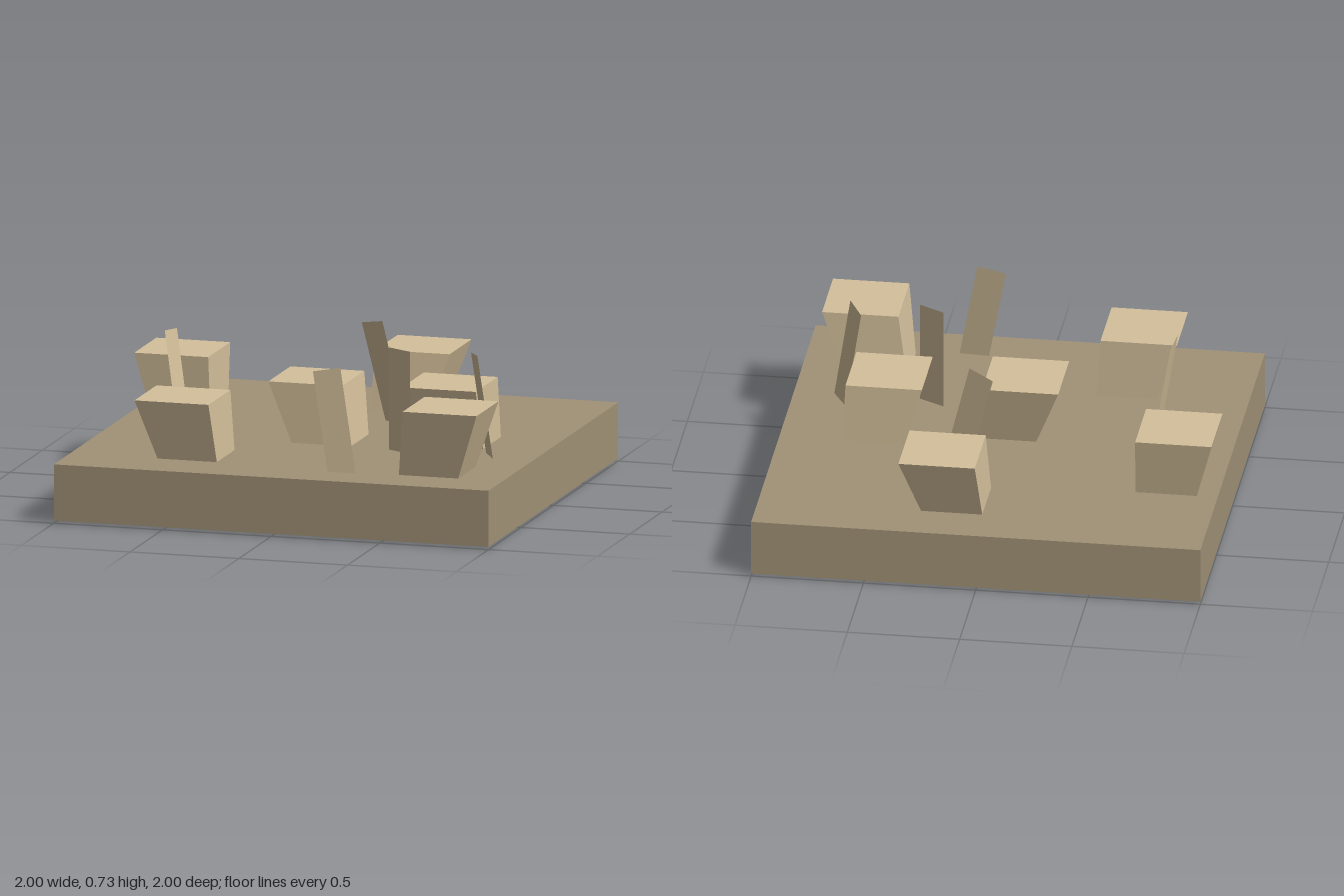
import * as THREE from 'three';

const BASE_BOTTOM = 0.012, BASE_TOP = 0.265;

const sand = new THREE.MeshStandardMaterial({ color: 0xd4c09b, flatShading: true });
const earth = new THREE.MeshStandardMaterial({ color: 0xa29377, flatShading: true });
const sheet = new THREE.MeshStandardMaterial({ color: 0xd4c09b, flatShading: true, side: THREE.DoubleSide });

// Block with a square top and a smaller, shifted square foot
function block(topY, topX, topZ, footX, footZ) {
  const topSize = 0.34, footSize = 0.272;
  const geo = new THREE.BoxGeometry(1, 1, 1);
  const p = geo.attributes.position;
  for (let i = 0; i < p.count; i++) {
    const up = p.getY(i) > 0;
    const size = up ? topSize : footSize;
    p.setXYZ(i,
      (up ? topX : footX) + p.getX(i) * size,
      up ? topY : BASE_TOP - 0.003,
      (up ? topZ : footZ) + p.getZ(i) * size);
  }
  geo.computeVertexNormals();
  const mesh = new THREE.Mesh(geo, sand);
  mesh.name = 'taperedBlock';
  return mesh;
}

// Thin slab standing through the base: top edge a-b, leaning by (leanX, leanZ) per unit of height
function slab(a, b, leanX, leanZ) {
  const drop = Math.min(a[1], b[1]);
  const geo = new THREE.PlaneGeometry(1, 1);
  const p = geo.attributes.position;
  for (let i = 0; i < p.count; i++) {
    const [x, y, z] = p.getX(i) < 0 ? a : b;
    const d = p.getY(i) > 0 ? 0 : drop;
    p.setXYZ(i, x + leanX * d, y - d, z + leanZ * d);
  }
  geo.computeVertexNormals();
  const mesh = new THREE.Mesh(geo, sheet);
  mesh.name = 'leaningSlab';
  return mesh;
}

export function createModel() {
  const model = new THREE.Group();
  model.name = 'blockField';

  // Square base
  const base = new THREE.Mesh(new THREE.BoxGeometry(2, BASE_TOP - BASE_BOTTOM, 2), earth);
  base.position.y = (BASE_TOP + BASE_BOTTOM) / 2;
  base.name = 'base';
  model.add(base);

  // Blocks: top height, top centre x z, foot centre x z
  const blocks = new THREE.Group();
  blocks.name = 'blocks';
  [
    [0.535, -0.81, -0.345, -0.77, -0.325],
    [0.535, 0.192, -0.708, 0.138, -0.645],
    [0.535, -0.066, 0.082, 0.008, 0.115],
    [0.535, 0.535, 0.04, 0.583, 0.003],
    [0.535, -0.514, 0.645, -0.461, 0.611],
    [0.567, 0.733, 0.692, 0.659, 0.648],
  ].forEach((b) => blocks.add(block(...b)));
  model.add(blocks);

  // Slabs: two top corners, then the lean
  const slabs = new THREE.Group();
  slabs.name = 'slabs';
  [
    [[-0.728, 0.725, 0.2], [-0.712, 0.71, 0.065], 0.17, 0.11],
    [[0.02, 0.7, -0.332], [0.133, 0.725, -0.268], 0.25, 0],
    [[0.117, 0.7, 0.748], [0.245, 0.725, 0.755], 0.19, 0.125],
    [[0.685, 0.713, 0.215], [0.75, 0.725, 0.335], 0.155, 0],
    [[0.325, 0.725, 0.27], [0.44, 0.725, 0.335], 0, 0],
  ].forEach((s) => slabs.add(slab(...s)));
  model.add(slabs);

  return model;
}
